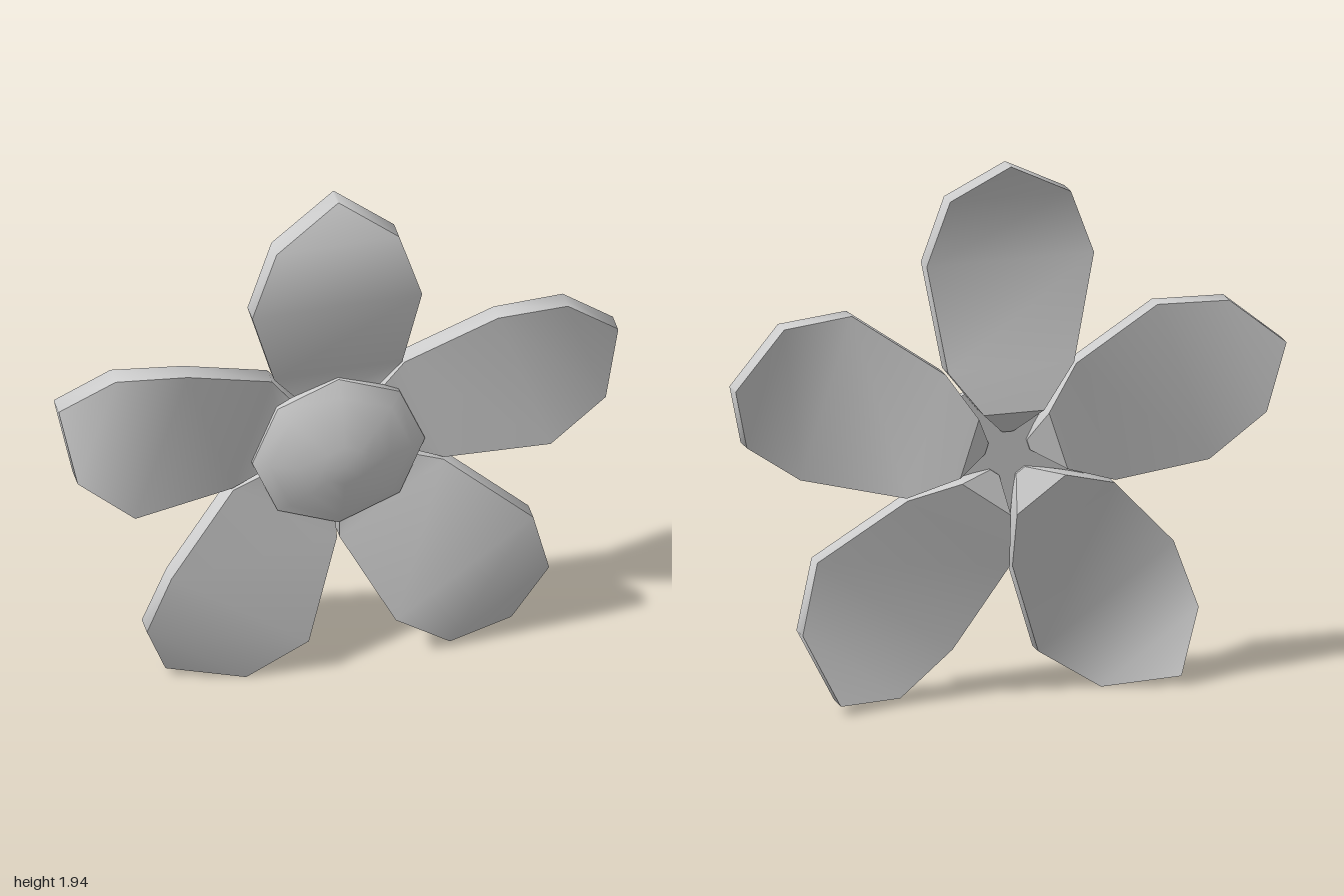
import * as THREE from 'three';
import { toCreasedNormals } from 'three/addons/utils/BufferGeometryUtils.js';

// Petal cross-sections: distance from centre, left x, right x, front z, back z
const SECTIONS = [
  [0.08, -0.02, 0.02, -0.01, -0.03],
  [0.17, -0.11, 0.11, -0.03, -0.105],
  [0.325, -0.23, 0.23, 0.0, -0.07],
  [0.685, -0.335, 0.275, 0.105, 0.035],
  [0.925, -0.24, 0.2, 0.075, 0.0],
  [1.055, -0.002, 0.002, 0.003, -0.07],
];

function petalGeometry() {
  const positions = [];
  const index = [];
  for (const [v, left, right, front, back] of SECTIONS) {
    positions.push(left, v, front, right, v, front, right, v, back, left, v, back);
  }
  // Walls joining each section to the next
  for (let i = 0; i < SECTIONS.length - 1; i++) {
    for (let k = 0; k < 4; k++) {
      const a = i * 4 + k;
      const b = i * 4 + ((k + 1) % 4);
      index.push(a, b, b + 4, a, b + 4, a + 4);
    }
  }
  // Caps at the base and the tip
  const t = (SECTIONS.length - 1) * 4;
  index.push(0, 3, 2, 0, 2, 1, t, t + 1, t + 2, t, t + 2, t + 3);

  const geometry = new THREE.BufferGeometry();
  geometry.setAttribute('position', new THREE.Float32BufferAttribute(positions, 3));
  geometry.setIndex(index);
  return toCreasedNormals(geometry, 0.85);
}

function domeGeometry() {
  // Flat back, short rim and a shallow eight-sided dome
  const profile = [
    [0, -0.02], [0.31, -0.02], [0.31, 0.005], [0.255, 0.04], [0.165, 0.075], [0.08, 0.096], [0, 0.104],
  ].map(([r, h]) => new THREE.Vector2(r, h));
  const geometry = new THREE.LatheGeometry(profile, 8);
  geometry.rotateX(Math.PI / 2);
  geometry.deleteAttribute('normal');
  geometry.deleteAttribute('uv');
  return toCreasedNormals(geometry, 0.9);
}

export function createModel() {
  const group = new THREE.Group();
  group.name = 'flower';
  const grey = new THREE.MeshStandardMaterial({ color: 0xcccccc });
  grey.name = 'light grey';

  // Five petals around the centre
  const geometry = petalGeometry();
  for (let i = 0; i < 5; i++) {
    const petal = new THREE.Mesh(geometry, grey);
    petal.name = `petal${i + 1}`;
    petal.position.y = 0.885;
    petal.rotation.z = (i * Math.PI * 2) / 5;
    group.add(petal);
  }

  // Domed flower centre
  const centre = new THREE.Mesh(domeGeometry(), grey);
  centre.name = 'flowerCentre';
  centre.position.y = 0.865;
  group.add(centre);

  return group;
}
